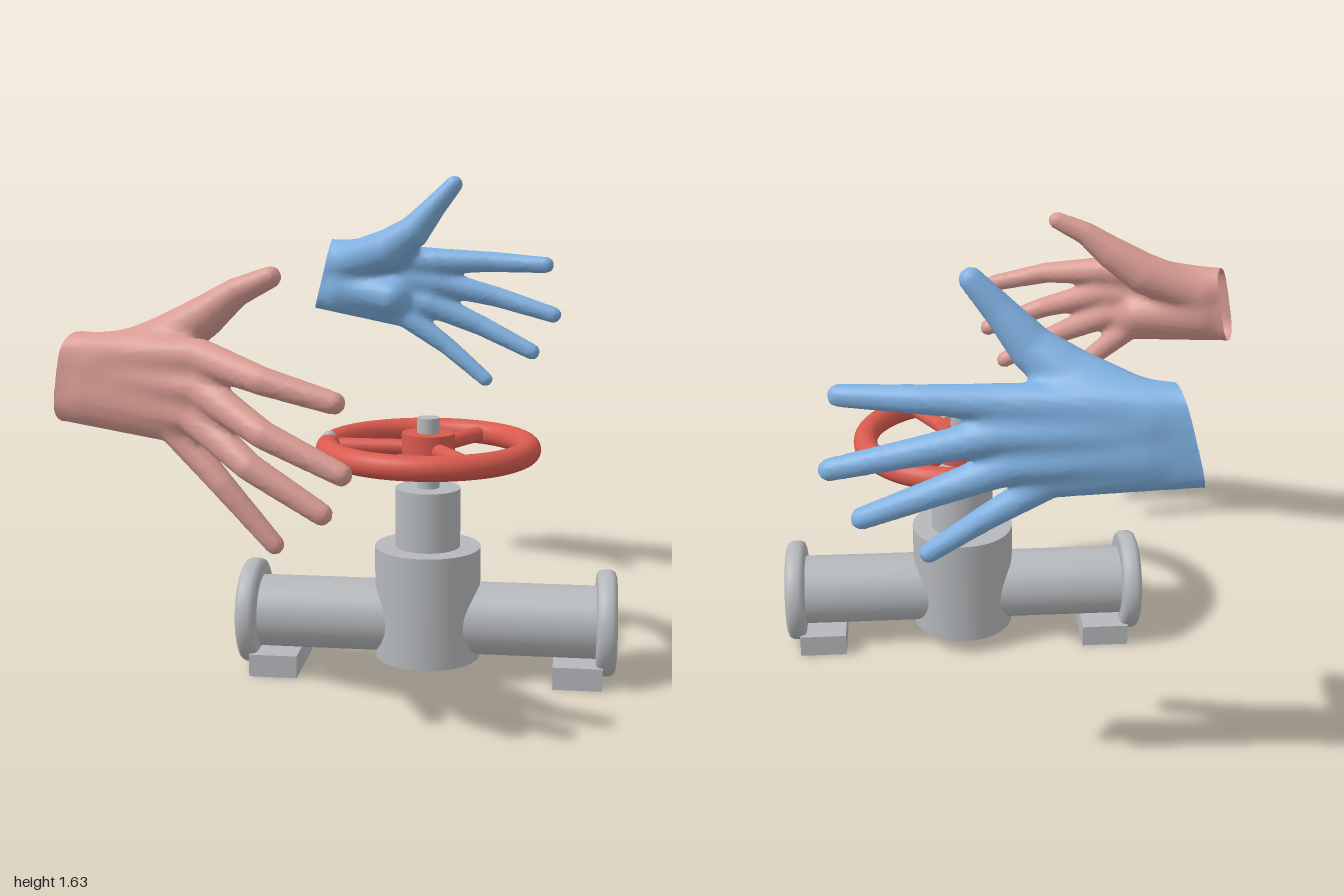
import * as THREE from 'three';

const mat = (name, color, side = THREE.FrontSide) => {
  const m = new THREE.MeshStandardMaterial({ color, side });
  m.name = name;
  return m;
};

function add(parent, name, geometry, material, x = 0, y = 0, z = 0) {
  const mesh = new THREE.Mesh(geometry, material);
  mesh.name = name;
  mesh.position.set(x, y, z);
  parent.add(mesh);
  return mesh;
}

// Upright cylinder between two heights
function post(parent, name, r, y0, y1, material) {
  return add(parent, name, new THREE.CylinderGeometry(r, r, y1 - y0, 48), material, 0, (y0 + y1) / 2, 0);
}

// Skin: smooth union of tapered bone chains, meshed on a grid and cut open at the wrist
function skinGeometry(chains, cutPoint, cutNormal, step = 0.012, blend = 0.035) {
  const segs = chains.map(c => c.slice(1).map((b, i) => {
    const a = c[i], d = [b[0] - a[0], b[1] - a[1], b[2] - a[2]];
    return { a, d, dr: b[3] - a[3], len2: d[0] * d[0] + d[1] * d[1] + d[2] * d[2] };
  }));
  const field = (x, y, z) => {
    let f = 1e3;
    for (const chain of segs) {
      let g = 1e3;
      for (const { a, d, dr, len2 } of chain) {
        const px = x - a[0], py = y - a[1], pz = z - a[2];
        const t = Math.min(1, Math.max(0, (px * d[0] + py * d[1] + pz * d[2]) / len2));
        g = Math.min(g, Math.hypot(px - t * d[0], py - t * d[1], pz - t * d[2]) - a[3] - t * dr);
      }
      const h = Math.max(0, blend - Math.abs(f - g)) / blend;
      f = Math.min(f, g) - h * h * blend / 4;
    }
    return f;
  };

  // Sample the field
  const box = new THREE.Box3();
  chains.flat().forEach(p => box.expandByPoint(new THREE.Vector3(p[0], p[1], p[2])));
  box.expandByScalar(0.13);
  const lo = box.min.toArray();
  const n = box.getSize(new THREE.Vector3()).toArray().map(s => Math.ceil(s / step) + 1);
  const stride = [1, n[0], n[0] * n[1]];
  const values = new Float32Array(n[0] * n[1] * n[2]);
  const eachPoint = fn => {
    for (let k = 0, id = 0; k < n[2]; k++)
      for (let j = 0; j < n[1]; j++)
        for (let i = 0; i < n[0]; i++, id++) fn([i, j, k], id);
  };
  eachPoint((p, id) => {
    values[id] = field(lo[0] + p[0] * step, lo[1] + p[1] * step, lo[2] + p[2] * step);
  });

  // One vertex in every cell the surface crosses
  const vertexOf = new Int32Array(values.length).fill(-1);
  const positions = [], beyond = [];
  eachPoint((p, id) => {
    if (p.some((v, a) => v >= n[a] - 1)) return;
    const sum = [0, 0, 0];
    let count = 0;
    for (let a = 0; a < 3; a++) {
      const b = (a + 1) % 3, c = (a + 2) % 3;
      for (let q = 0; q < 4; q++) {
        const ob = q & 1, oc = q >> 1;
        const e = id + ob * stride[b] + oc * stride[c];
        const v0 = values[e], v1 = values[e + stride[a]];
        if ((v0 < 0) === (v1 < 0)) continue;
        sum[a] += v0 / (v0 - v1);
        sum[b] += ob;
        sum[c] += oc;
        count++;
      }
    }
    if (!count) return;
    const v = new THREE.Vector3(...p.map((g, a) => lo[a] + (g + sum[a] / count) * step));
    const dist = v.clone().sub(cutPoint).dot(cutNormal);
    if (dist < 0) v.addScaledVector(cutNormal, -dist);
    vertexOf[id] = beyond.length;
    beyond.push(dist < 0);
    positions.push(v.x, v.y, v.z);
  });

  // One quad around every crossed grid edge, leaving the wrist open
  const index = [];
  eachPoint((p, id) => {
    for (let a = 0; a < 3; a++) {
      const b = (a + 1) % 3, c = (a + 2) % 3;
      if (p[a] >= n[a] - 1 || !p[b] || !p[c]) continue;
      const inside = values[id] < 0;
      if (inside === (values[id + stride[a]] < 0)) continue;
      const q = [id - stride[b] - stride[c], id - stride[c], id, id - stride[b]].map(e => vertexOf[e]);
      if (q.some(v => v < 0) || q.every(v => beyond[v])) continue;
      if (!inside) q.reverse();
      index.push(q[0], q[1], q[2], q[0], q[2], q[3]);
    }
  });
  const geo = new THREE.BufferGeometry();
  geo.setAttribute('position', new THREE.Float32BufferAttribute(positions, 3));
  geo.setIndex(index);
  geo.computeVertexNormals();
  return geo;
}

// Hand: four fingers fan out from the wrist line, the thumb has its own chain
function hand(parent, name, material, { wristTop, wristBottom, cut, normal, fingers, thumb, heel }) {
  const chains = fingers.map(([base, mid, tip], i) => {
    const t = i / 3, small = i === 3 ? 0.9 : 1;
    const root = wristTop.map((v, a) => v + (wristBottom[a] - v) * t);
    return [[...root, 0.062], [...base, 0.05 * small], [...mid, 0.039 * small], [...tip, 0.031 * small]];
  });
  chains.push(thumb, heel);
  add(parent, name, skinGeometry(chains, new THREE.Vector3(...cut), new THREE.Vector3(...normal).normalize()), material);
}

export function createModel() {
  const model = new THREE.Group();
  model.name = 'valveWithHands';
  const grey = mat('metalGrey', 0xb5b8bb);
  const red = mat('wheelRed', 0xd95a4e);
  const blue = mat('handBlue', 0x7fb0e0, THREE.DoubleSide);
  const pink = mat('handPink', 0xd99c94, THREE.DoubleSide);

  const valve = new THREE.Group();
  valve.name = 'valve';
  valve.position.set(0.122, 0, 0.063);
  valve.rotation.y = Math.PI / 10;
  model.add(valve);

  // Body, bonnet and stem
  post(valve, 'body', 0.175, 0.055, 0.43, grey);
  post(valve, 'bonnet', 0.107, 0.42, 0.627, grey);
  post(valve, 'stem', 0.037, 0.6, 0.86, grey);

  // Pipe with a rounded flange and a foot at each end
  add(valve, 'pipe', new THREE.CylinderGeometry(0.12, 0.12, 1.16, 48), grey, 0, 0.185, 0).rotation.z = Math.PI / 2;
  const flangeProfile = [[0, 0], [0.155, 0], [0.168, 0.005], [0.174, 0.018], [0.175, 0.033],
    [0.174, 0.048], [0.167, 0.06], [0.152, 0.066], [0, 0.068]].map(p => new THREE.Vector2(...p));
  const flangeGeo = new THREE.LatheGeometry(flangeProfile, 48);
  for (const s of [-1, 1]) {
    add(valve, 'flange', flangeGeo, grey, s * 0.558, 0.185, 0).rotation.z = -s * Math.PI / 2;
    add(valve, 'foot', new THREE.BoxGeometry(0.16, 0.075, 0.29), grey, s * 0.5, 0.0375, 0);
  }

  // Handwheel
  const wheel = new THREE.Group();
  wheel.name = 'handwheel';
  wheel.position.y = 0.76;
  valve.add(wheel);
  add(wheel, 'rim', new THREE.TorusGeometry(0.328, 0.04, 20, 72), red).rotation.x = Math.PI / 2;
  post(wheel, 'hub', 0.087, -0.07, 0.05, red);
  for (let i = 0; i < 3; i++) {
    const spoke = new THREE.Group();
    spoke.name = 'spoke';
    spoke.rotation.y = Math.PI / 3 + i * Math.PI * 2 / 3;
    wheel.add(spoke);
    add(spoke, 'spokeBar', new THREE.CylinderGeometry(0.026, 0.026, 0.27, 20), red, 0.19, 0, 0).rotation.z = Math.PI / 2;
  }
  add(wheel, 'rimKnob', new THREE.SphereGeometry(0.024, 20, 14), grey, -0.328, 0.025, 0);

  // Hands with the palms facing each other
  hand(model, 'frontHand', pink, {
    wristTop: [-0.77, 1.125, 0.85], wristBottom: [-0.8, 0.985, 0.85],
    cut: [-0.68, 1.055, 0.85], normal: [1, -0.2, 0.14],
    fingers: [
      [[-0.21, 1.14, 0.885], [0.02, 1.095, 0.945], [0.225, 1.045, 0.92]],
      [[-0.21, 1.05, 0.89], [0.03, 0.95, 0.957], [0.25, 0.856, 0.93]],
      [[-0.245, 0.97, 0.88], [-0.03, 0.853, 0.935], [0.176, 0.735, 0.905]],
      [[-0.33, 0.93, 0.86], [-0.16, 0.775, 0.865], [-0.012, 0.61, 0.835]],
    ],
    thumb: [[-0.58, 1.09, 0.84, 0.07], [-0.38, 1.165, 0.805, 0.075], [-0.26, 1.24, 0.785, 0.06],
      [-0.165, 1.31, 0.77, 0.042], [-0.058, 1.357, 0.755, 0.031]],
    heel: [[-0.6, 1.01, 0.845, 0.07], [-0.36, 0.99, 0.845, 0.065]],
  });
  hand(model, 'backHand', blue, {
    wristTop: [-0.83, 1.33, -0.815], wristBottom: [-0.88, 1.185, -0.815],
    cut: [-0.738, 1.24, -0.835], normal: [1, -0.28, -0.44],
    fingers: [
      [[-0.255, 1.305, -0.87], [-0.03, 1.305, -0.905], [0.183, 1.298, -0.915]],
      [[-0.25, 1.22, -0.885], [-0.02, 1.165, -0.94], [0.2, 1.103, -0.965]],
      [[-0.285, 1.135, -0.88], [-0.08, 1.05, -0.925], [0.122, 0.957, -0.945]],
      [[-0.38, 1.085, -0.85], [-0.21, 0.97, -0.88], [-0.05, 0.845, -0.89]],
    ],
    thumb: [[-0.63, 1.29, -0.815, 0.075], [-0.42, 1.35, -0.78, 0.08], [-0.31, 1.42, -0.77, 0.063],
      [-0.22, 1.52, -0.775, 0.044], [-0.146, 1.602, -0.785, 0.033]],
    heel: [[-0.63, 1.19, -0.82, 0.07], [-0.42, 1.16, -0.81, 0.07]],
  });
  return model;
}
